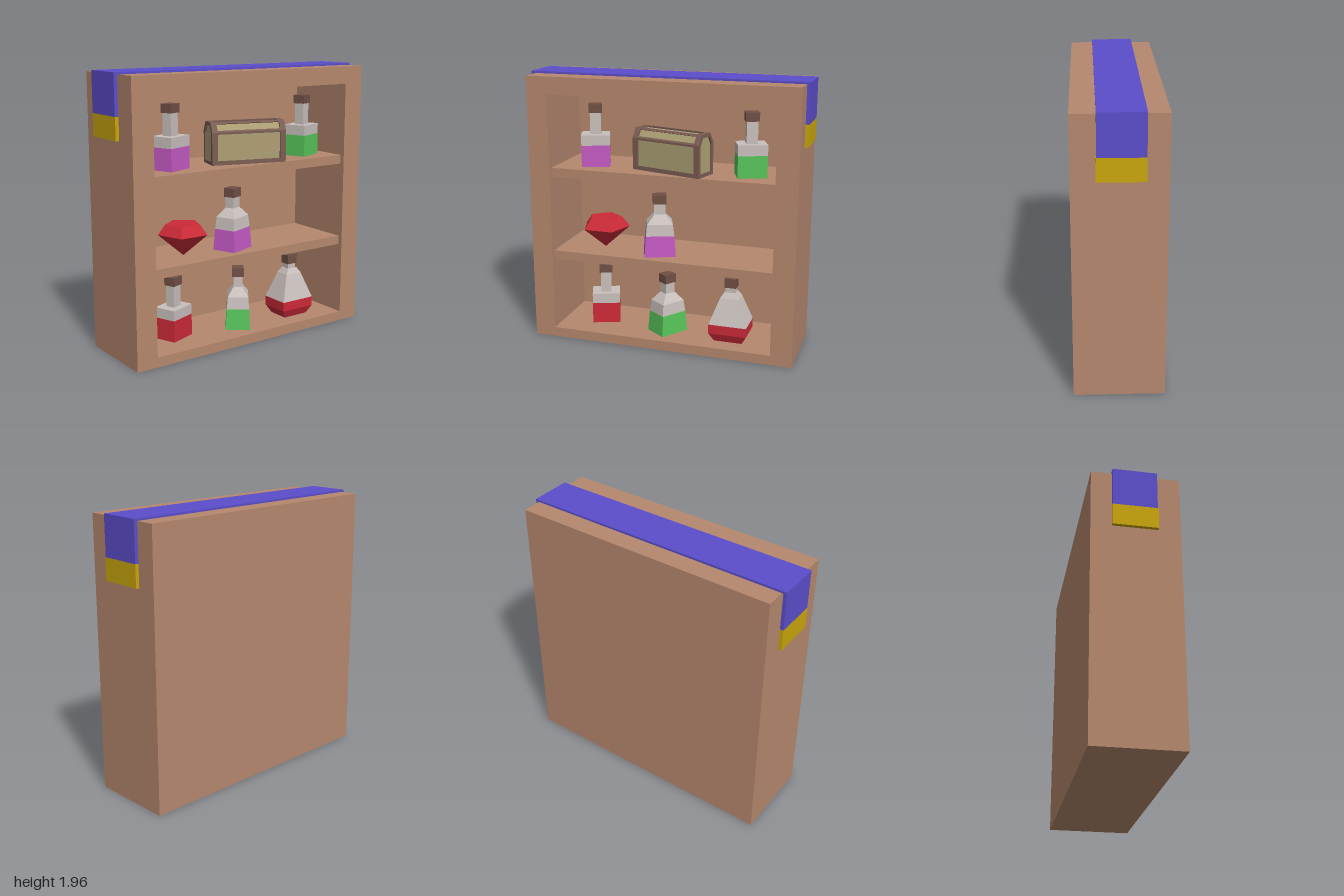
import * as THREE from 'three';

const mat = (name, color) => {
  const m = new THREE.MeshStandardMaterial({ color });
  m.name = name;
  return m;
};

export function createModel() {
  const wood = mat('wood', 0xb6886e);
  const blue = mat('blueCloth', 0x5c4ecb);
  const gold = mat('goldTrim', 0xcaa70c);
  const glass = mat('glass', 0xc9c0bd);
  const purple = mat('purpleLiquid', 0xc45ac4);
  const green = mat('greenLiquid', 0x58c45a);
  const red = mat('red', 0xcc2a38);
  const cork = mat('cork', 0x705046);
  const frameBrown = mat('chestFrame', 0x7c5e54);
  const tan = mat('chestPanel', 0xada074);

  const model = new THREE.Group();
  model.name = 'potionCabinet';

  const add = (parent, name, geometry, material, x = 0, y = 0, z = 0) => {
    const mesh = new THREE.Mesh(geometry, material);
    mesh.name = name;
    mesh.position.set(x, y, z);
    parent.add(mesh);
    return mesh;
  };
  const group = (name, x, y, z, turn = 0) => {
    const g = new THREE.Group();
    g.name = name;
    g.position.set(x, y, z);
    g.rotation.y = THREE.MathUtils.degToRad(turn);
    model.add(g);
    return g;
  };
  const box = (w, h, d) => new THREE.BoxGeometry(w, h, d);
  const faceted = (geometry) => {
    const g = geometry.toNonIndexed();
    g.computeVertexNormals();
    return g;
  };
  const polygon = (points) => new THREE.Shape(points.map(([x, y]) => new THREE.Vector2(x, y)));
  const extrude = (shape, depth) => new THREE.ExtrudeGeometry(shape, { depth, bevelEnabled: false });

  // Cabinet: open-fronted frame, back board and two recessed shelves
  const cx = 0.004;
  const [x0, x1, y0, y1] = [-0.811, 0.819, 0.07, 1.815];
  const shell = polygon([[cx - 0.97, 0], [cx + 0.97, 0], [cx + 0.97, 1.94], [cx - 0.97, 1.94]]);
  shell.holes.push(polygon([[x0, y0], [x0, y1], [x1, y1], [x1, y0]]));
  add(model, 'cabinetFrame', extrude(shell, 0.553), wood, 0, 0, -0.25);
  add(model, 'backBoard', box(1.94, 1.94, 0.053), wood, cx, 0.97, -0.2765);
  for (const y of [0.632, 1.253]) {
    add(model, 'shelf', box(x1 - x0, 0.065, 0.52), wood, cx, y, 0.01);
  }

  // Cloth runner over the top with gold ends
  add(model, 'runnerTop', box(2, 0.016, 0.304), blue, 0, 1.947, -0.01);
  for (const side of [-1, 1]) {
    add(model, 'runnerDrop', box(0.025, 0.266, 0.304), blue, side * 0.9875, 1.808, -0.01);
    add(model, 'runnerTrim', box(0.025, 0.155, 0.31), gold, side * 0.9875, 1.5975, -0.008);
  }

  // Rectangular bottle: each section is [name, material, y0, y1, bottom width, top width, depth ratio]
  const bottle = (name, sections, x, y, z, turn) => {
    const g = group(name, x, y, z, turn);
    for (const [part, material, low, high, wLow, wHigh, ratio] of sections) {
      const geo = new THREE.CylinderGeometry(wHigh / Math.SQRT2, wLow / Math.SQRT2, high - low, 4);
      geo.rotateY(Math.PI / 4).scale(1, 1, ratio);
      add(g, part, faceted(geo), material, 0, (low + high) / 2, 0);
    }
  };
  const squareBottle = (liquid) => [
    ['liquid', liquid, 0, 0.155, 0.205, 0.205, 0.81],
    ['glassBody', glass, 0.155, 0.229, 0.205, 0.205, 0.81],
    ['neck', glass, 0.229, 0.383, 0.078, 0.078, 0.88],
    ['stopper', cork, 0.383, 0.444, 0.095, 0.095, 0.9],
  ];
  const taperedBottle = (liquid) => [
    ['liquid', liquid, 0, 0.153, 0.225, 0.204, 0.8],
    ['glassBody', glass, 0.153, 0.238, 0.204, 0.184, 0.8],
    ['shoulder', glass, 0.238, 0.302, 0.184, 0.08, 0.82],
    ['neck', glass, 0.302, 0.38, 0.08, 0.08, 0.85],
    ['stopper', cork, 0.38, 0.444, 0.095, 0.095, 0.88],
  ];
  const flask = [
    ['liquidBase', red, 0, 0.062, 0.205, 0.276, 0.8],
    ['liquidBand', red, 0.062, 0.13, 0.276, 0.276, 0.8],
    ['glassBody', glass, 0.13, 0.322, 0.276, 0.135, 0.8],
    ['shoulder', glass, 0.322, 0.36, 0.135, 0.085, 0.85],
    ['neck', glass, 0.36, 0.397, 0.07, 0.07, 0.88],
    ['stopper', cork, 0.397, 0.465, 0.085, 0.085, 0.9],
  ];
  bottle('purpleSquareBottle', squareBottle(purple), -0.545, 1.286, 0.07, 21);
  bottle('greenSquareBottle', squareBottle(green), 0.6, 1.286, 0.07, 21);
  bottle('redSquareBottle', squareBottle(red), -0.508, 0.07, 0.02, 21);
  bottle('purpleTaperedBottle', taperedBottle(purple), -0.053, 0.665, 0.1, 21);
  bottle('greenTaperedBottle', taperedBottle(green), 0.003, 0.07, 0.09, 54.5);
  bottle('redFlask', flask, 0.484, 0.07, 0.09, 0);

  // Gem: five-sided crown over a pointed pavilion, flat side forward
  const gem = group('gem', -0.472, 0.68, 0.1, 36);
  add(gem, 'pavilion', faceted(new THREE.CylinderGeometry(0.178, 0.001, 0.155, 5)), red, 0, 0.0775, 0);
  add(gem, 'crown', faceted(new THREE.CylinderGeometry(0.126, 0.178, 0.07, 5)), red, 0, 0.19, 0);

  // Chest: pale core inside a brown frame, built along z then turned lengthwise
  const chest = group('chest', 0.0475, 1.286, 0.11, 90 - 16);
  const length = 0.55;
  const outline = (inset) => [
    [-0.095 + inset, inset], [0.095 - inset, inset],
    [0.095 - inset, 0.228 - inset * 0.4], [0.055 - inset * 0.6, 0.296 - inset],
    [-0.055 + inset * 0.6, 0.296 - inset], [-0.095 + inset, 0.228 - inset * 0.4],
  ];
  const outer = outline(0);
  const inner = outline(0.012);
  add(chest, 'chestCore', extrude(polygon(inner), length - 0.024), tan, 0, 0, -length / 2 + 0.012);

  // End hoops
  const hoop = polygon(outer);
  hoop.holes.push(polygon(outline(0.024).reverse()));
  for (const z of [-length / 2, length / 2 - 0.042]) {
    add(chest, 'endFrame', extrude(hoop, 0.042), frameBrown, 0, 0, z);
  }

  // Rails along each lengthwise edge
  const toward = (a, b, t) => {
    const d = Math.hypot(b[0] - a[0], b[1] - a[1]);
    return [a[0] + (b[0] - a[0]) * t / d, a[1] + (b[1] - a[1]) * t / d];
  };
  outer.forEach((p, i) => {
    const prev = outer[(i + 5) % 6];
    const next = outer[(i + 1) % 6];
    const t = i < 2 ? 0.03 : 0.014;
    const rail = polygon([p, toward(p, next, t), outline(0.02)[i], toward(p, prev, t)]);
    add(chest, 'edgeRail', extrude(rail, length - 0.08), frameBrown, 0, 0, -length / 2 + 0.04);
  });

  return model;
}
